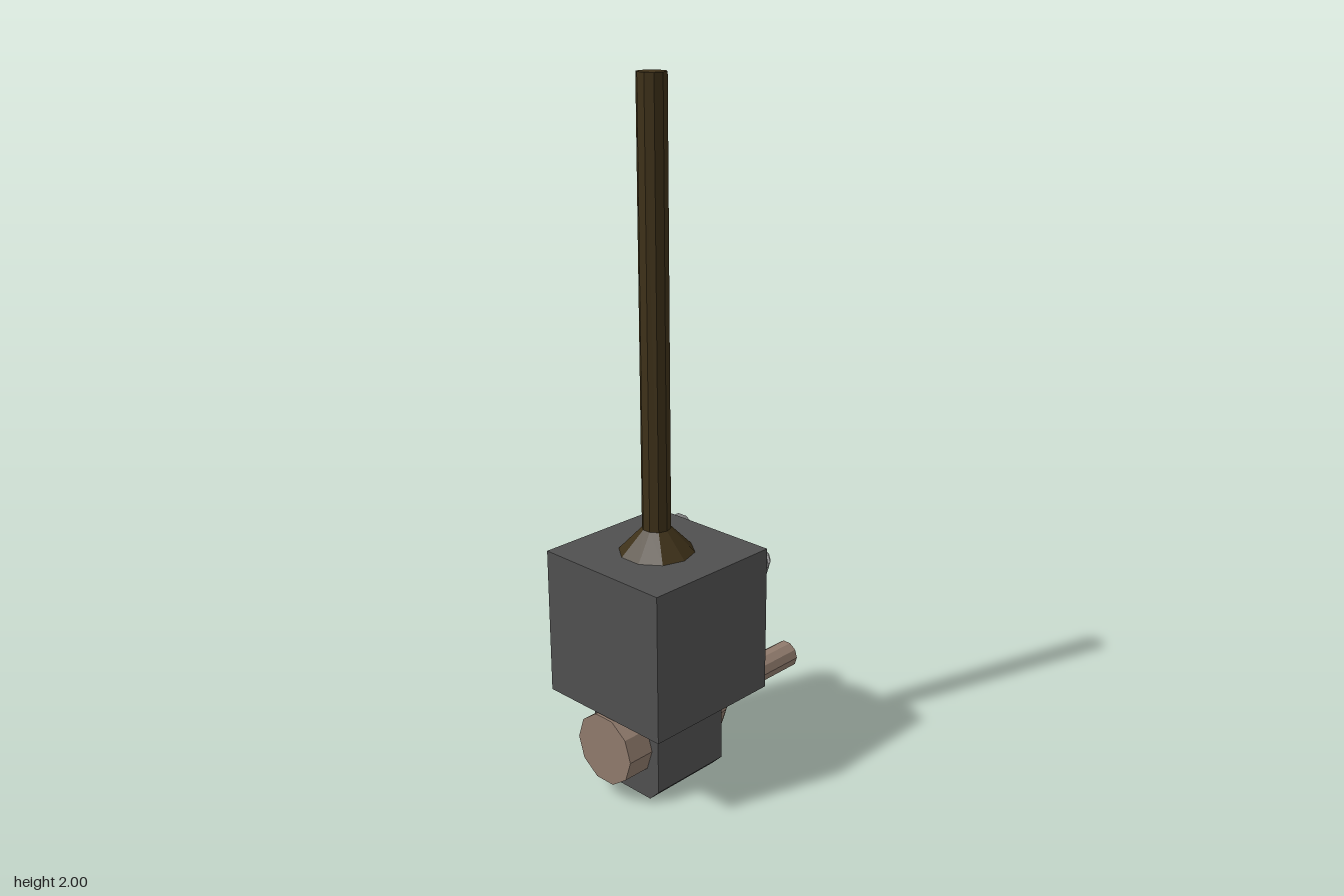
import * as THREE from 'three';

const mat = (color) => new THREE.MeshStandardMaterial({ color, flatShading: true });

export function createModel() {
  const model = new THREE.Group();
  const casing = mat(0x505050);
  const rim = mat(0x7c7c7c);
  const glass = mat(0xc4c4c4);
  const copper = mat(0x8f7a6c);
  const bronze = mat(0x3d3018);

  const add = (name, geometry, material, x = 0, y = 0, z = 0) => {
    const mesh = new THREE.Mesh(geometry, material);
    mesh.name = name;
    mesh.position.set(x, y, z);
    model.add(mesh);
    return mesh;
  };

  // Ten-sided turned part; profile is [radius, distance along axis]
  const turned = (profile) =>
    new THREE.LatheGeometry(profile.map(([r, h]) => new THREE.Vector2(r, h)), 10);
  // Same, with the axis running along +x
  const turnedX = (name, profile, material, y, z = 0) =>
    add(name, turned(profile).rotateZ(-Math.PI / 2), material, 0, y, z);

  // Main housing
  add('housing', new THREE.BoxGeometry(0.434, 0.434, 0.434), casing, -0.178, 0.482, 0);

  // Lower block with chamfered bottom edges, extruded along x
  const w = 0.13, c = 0.034;
  const section = new THREE.Shape([
    [-w + c, 0], [w - c, 0], [w, c], [w, 0.266], [-w, 0.266], [-w, c],
  ].map(([x, y]) => new THREE.Vector2(x, y)));
  const block = new THREE.ExtrudeGeometry(section, { depth: 0.26, bevelEnabled: false });
  block.rotateY(Math.PI / 2);
  add('lowerBlock', block, casing, -0.311, 0, 0);

  // Mast with flared foot
  add('mast', turned([
    [0, 0.69], [0.108, 0.69], [0.108, 0.699], [0.041, 0.768], [0.041, 2], [0, 2],
  ]), bronze, -0.18, 0, 0);

  // Barrel body passing through the lower block
  turnedX('barrelBody', [
    [0, -0.395], [0.106, -0.395], [0.106, -0.05], [0.098, 0.003],
    [0.088, 0.02], [0.064, 0.038], [0, 0.038],
  ], copper, 0.157);

  // Hollow barrel tube
  turnedX('barrelTube', [
    [0.043, 0.03], [0.043, 0.394], [0.027, 0.394], [0.027, 0.045], [0, 0.045],
  ], copper, 0.157);

  // Rimmed lenses: a hollow ring with a recessed disc
  const lens = (name, y, z, outer, inner, front, depth) => {
    turnedX(name + 'Rim', [
      [outer, 0.036], [outer, front], [inner, front], [inner, 0.036],
    ], rim, y, z);
    turnedX(name + 'Glass', [[inner, depth], [0, depth]], glass, y, z);
  };
  lens('mainLens', 0.482, 0, 0.136, 0.101, 0.125, 0.065);
  lens('smallLens', 0.634, -0.153, 0.054, 0.041, 0.079, 0.055);

  // Indicator lamp with a rounded bulb
  turnedX('lampBase', [
    [0.054, 0.036], [0.054, 0.06], [0, 0.06],
  ], rim, 0.634, 0.153);
  turnedX('lampBulb', [
    [0.038, 0.055], [0.038, 0.084], [0.029, 0.096], [0, 0.098],
  ], glass, 0.634, 0.153);

  return model;
}
